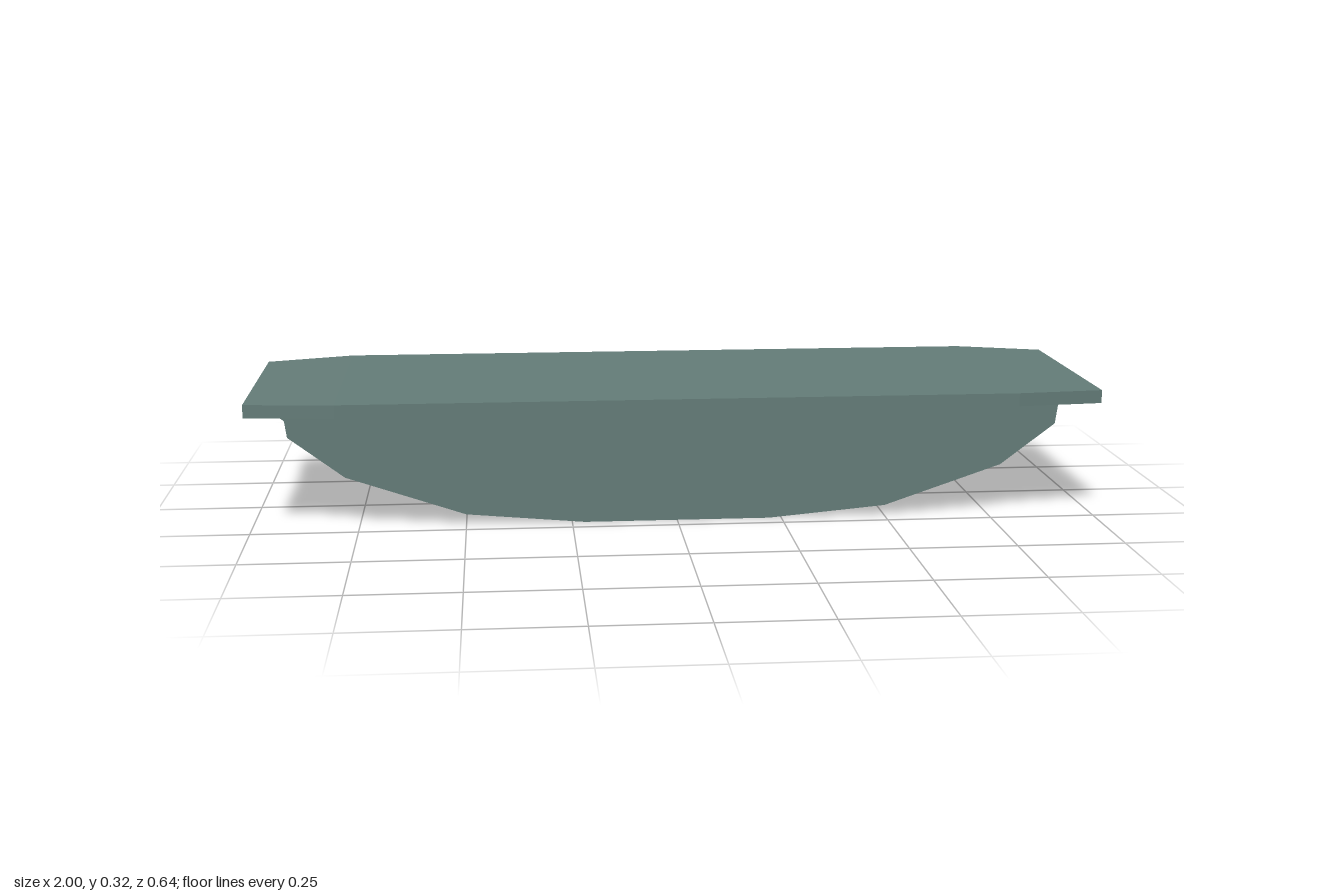
import * as THREE from 'three';

const material = new THREE.MeshStandardMaterial({ color: 0x647c78, flatShading: true });

// Closed outline mirrored in x, from its right half listed top to bottom
function mirroredShape(half, Type = THREE.Shape) {
  const left = half.filter(([x]) => x > 0).map(([x, y]) => [-x, y]).reverse();
  return new Type([...half, ...left].map(([x, y]) => new THREE.Vector2(x, y)));
}

function extrude(name, shape, z0, z1) {
  const geometry = new THREE.ExtrudeGeometry(shape, { depth: z1 - z0, bevelEnabled: false });
  geometry.translate(0, 0, z0);
  const mesh = new THREE.Mesh(geometry, material);
  mesh.name = name;
  return mesh;
}

// Flat top with tapered, slightly drooping ends
function createTopPlate() {
  const geometry = new THREE.BoxGeometry(2, 0.031, 0.64, 3, 1, 1);
  const p = geometry.attributes.position;
  for (let i = 0; i < p.count; i++) {
    const x = p.getX(i);
    if (Math.abs(x) > 0.9) {
      p.setZ(i, p.getZ(i) * 0.86);
      p.setY(i, p.getY(i) - 0.005);
    } else {
      p.setX(i, Math.sign(x) * 0.79);
    }
  }
  geometry.translate(0, 0.301, 0);
  const mesh = new THREE.Mesh(geometry, material);
  mesh.name = 'topPlate';
  return mesh;
}

// Half-round housing with a D-shaped recess in its back face
function createHousing(x, radius, zBack, zFront, recess) {
  const outline = [
    [1, 0.05], [1, -0.24], [0.88, -0.65], [0.52, -0.93], [0, -1.03],
  ].map(([u, v]) => [u * radius, v * radius]);
  const opening = [
    [0.68, -0.2], [0.63, -0.5], [0.4, -0.79], [0, -0.83],
  ].map(([u, v]) => [u * radius, v * radius]);

  const rimShape = mirroredShape(outline);
  rimShape.holes.push(mirroredShape(opening, THREE.Path));
  const group = new THREE.Group();
  group.name = 'housing';
  group.add(extrude('housingRim', rimShape, zBack, zBack + recess));
  group.add(extrude('housingBlock', mirroredShape(outline), zBack + recess, zFront));
  group.position.set(x, 0.283, 0);
  return group;
}

export function createModel() {
  const model = new THREE.Group();
  model.name = 'curvedLedge';
  model.add(createTopPlate());

  // Curved underbody
  const hull = mirroredShape([[0.92, 0.29], [0.91, 0.218], [0.78, 0.12], [0.5, 0.025], [0.22, 0]]);
  model.add(extrude('underbody', hull, -0.205, 0.205));

  // Row of housings along the back
  model.add(createHousing(0, 0.2, -0.31, -0.19, 0.045));
  for (const side of [-1, 1]) {
    model.add(createHousing(side * 0.46, 0.1, -0.25, -0.19, 0.03));
    model.add(createHousing(side * 0.862, 0.137, -0.275, -0.183, 0.04));
  }
  return model;
}
